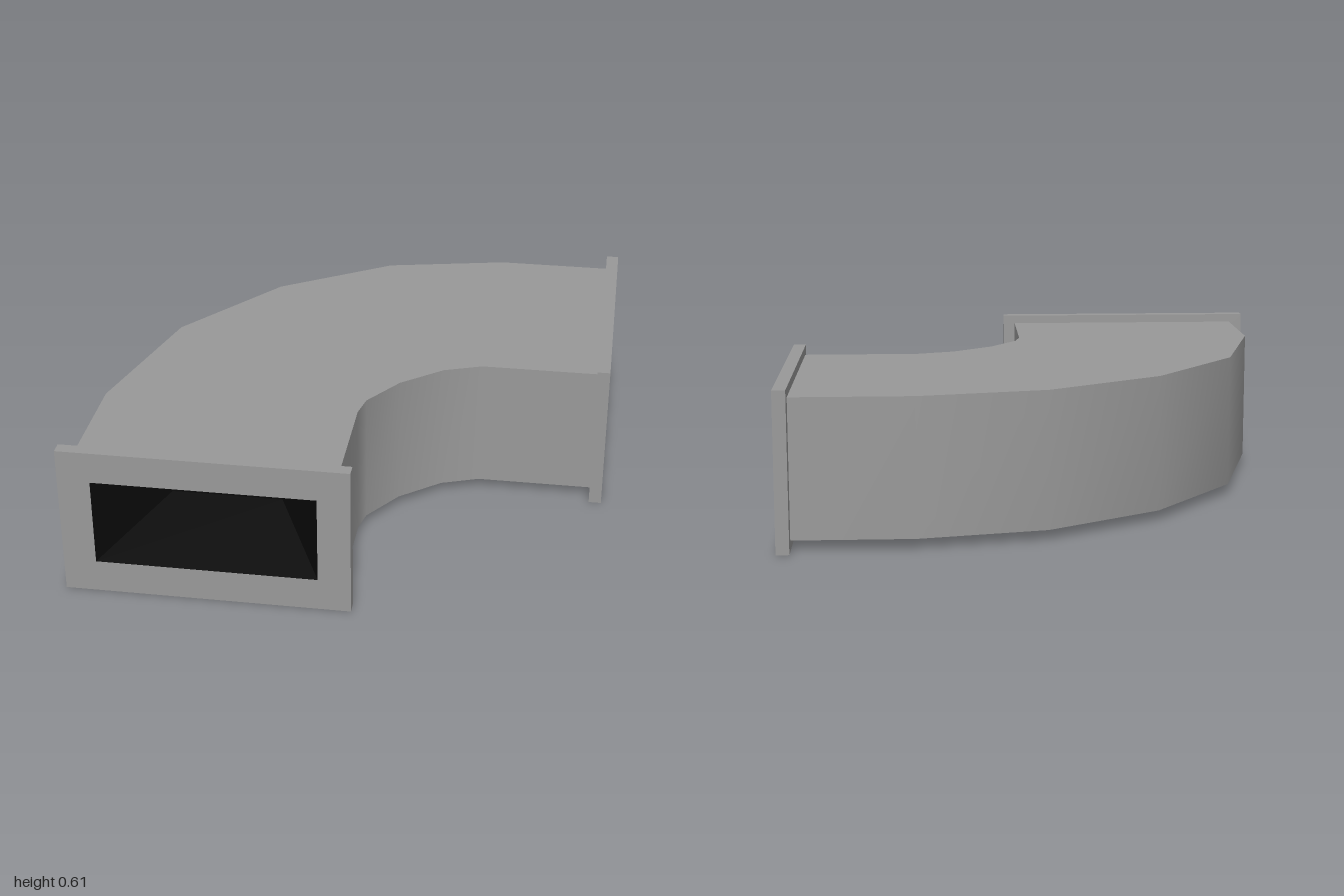
import * as THREE from 'three';

const BOTTOM = 0.04, TOP = 0.57;

// Plan outlines as [x, z]; the inner bend runs front to side, the outer bend runs back
const INNER = [[0.05, 0.96], [0.05, 0.68], [0.05, 0.49], [0.07, 0.395], [0.18, 0.235],
  [0.34, 0.105], [0.49, 0.05], [0.68, 0.05], [0.96, 0.05]];
const OUTER = [[0.96, -0.945], [0.49, -0.945], [0, -0.84], [-0.445, -0.555],
  [-0.785, -0.11], [-0.945, 0.49], [-0.945, 0.96]];

function buildGeometry(positions, index) {
  const geometry = new THREE.BufferGeometry();
  geometry.setAttribute('position', new THREE.Float32BufferAttribute(positions, 3));
  geometry.setIndex(index);
  return geometry;
}

// Smooth upright wall following a plan line
function wallGeometry(line) {
  const positions = line.flatMap(([x, z]) => [x, BOTTOM, z, x, TOP, z]);
  const index = [];
  for (let i = 0; i < line.length - 1; i++) {
    const a = i * 2;
    index.push(a, a + 2, a + 3, a, a + 3, a + 1);
  }
  const geometry = buildGeometry(positions, index);
  geometry.computeVertexNormals();
  return geometry;
}

// Rectangular recess that narrows towards its back face
function recessGeometry(depth) {
  const cy = 0.305, positions = [], index = [];
  for (const [w, h, z] of [[0.425, 0.175, 0.999], [0.22, 0.09, 1 - depth]]) {
    positions.push(-w, cy - h, z, w, cy - h, z, w, cy + h, z, -w, cy + h, z);
  }
  for (let i = 0; i < 4; i++) {
    const j = (i + 1) % 4;
    index.push(i, j, j + 4, i, j + 4, i + 4);
  }
  index.push(4, 5, 6, 4, 6, 7);
  const geometry = buildGeometry(positions, index).toNonIndexed();
  geometry.computeVertexNormals();
  return geometry;
}

function rectangle(path, w, y0, y1) {
  path.moveTo(-w, y0);
  path.lineTo(w, y0);
  path.lineTo(w, y1);
  path.lineTo(-w, y1);
  path.closePath();
  return path;
}

export function createModel() {
  const metal = new THREE.MeshStandardMaterial({ color: 0x999999 });
  metal.name = 'grey metal';
  const dark = new THREE.MeshStandardMaterial({ color: 0x0a0a0a });
  dark.name = 'dark interior';

  const model = new THREE.Group();
  model.name = 'ductElbow';
  const add = (parent, name, geometry, material) => {
    const mesh = new THREE.Mesh(geometry, material);
    mesh.name = name;
    parent.add(mesh);
    return mesh;
  };

  // Curved duct body
  add(model, 'innerWall', wallGeometry(INNER), metal);
  add(model, 'outerWall', wallGeometry(OUTER), metal);
  const plan = [...INNER, ...OUTER];
  const topShape = new THREE.Shape(plan.map(([x, z]) => new THREE.Vector2(x, -z)));
  const bottomShape = new THREE.Shape(plan.map(([x, z]) => new THREE.Vector2(x, z)));
  add(model, 'topPanel', new THREE.ShapeGeometry(topShape).rotateX(-Math.PI / 2), metal).position.y = TOP;
  add(model, 'bottomPanel', new THREE.ShapeGeometry(bottomShape).rotateX(Math.PI / 2), metal).position.y = BOTTOM;

  // Flanged openings at both ends
  const frame = rectangle(new THREE.Shape(), 0.55, 0, 0.605);
  frame.holes.push(rectangle(new THREE.Path(), 0.425, 0.13, 0.48));
  const flangeGeometry = new THREE.ExtrudeGeometry(frame, { depth: 0.05, bevelEnabled: false });
  flangeGeometry.translate(0, 0, 0.95);
  const recess = recessGeometry(0.4);
  for (const side of [false, true]) {
    const end = new THREE.Group();
    end.name = side ? 'leftOpening' : 'frontOpening';
    add(end, 'flange', flangeGeometry, metal);
    add(end, 'recess', recess, dark);
    if (side) {
      end.rotation.y = Math.PI / 2;
      end.position.z = -0.45;
    } else {
      end.position.x = -0.45;
    }
    model.add(end);
  }
  return model;
}
